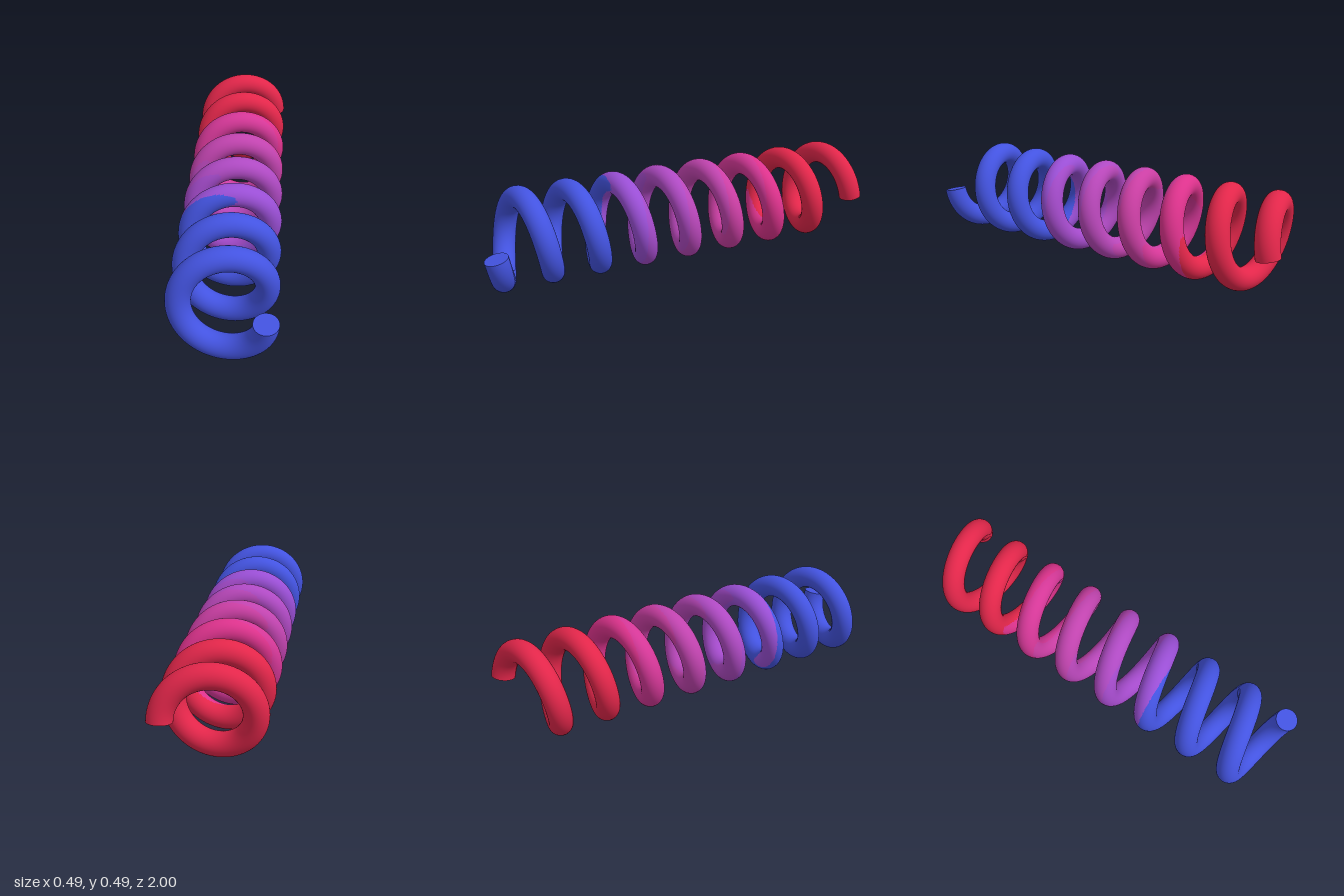
import * as THREE from 'three';

const TURNS = 8, COIL_R = 0.189, WIRE_R = 0.056, HALF_LEN = 0.943, CENTRE_Y = 0.247;

// Helix running from front (+z) to back, starting on the +x side and dropping first
class Helix extends THREE.Curve {
  getPoint(t, target = new THREE.Vector3()) {
    const a = t * TURNS * Math.PI * 2;
    return target.set(
      COIL_R * Math.cos(a),
      CENTRE_Y - COIL_R * Math.sin(a),
      HALF_LEN * (1 - 2 * t));
  }
}

// Colours from front to back
const COLOURS = [
  ['blue', 0x4353e0], ['violet', 0x994ed4], ['purple', 0xa34aca],
  ['orchid', 0xae49c2], ['plum', 0xb746b8], ['mauve', 0xc043ae],
  ['magenta', 0xca3ea3], ['rose', 0xd43797], ['pink', 0xdc328c],
  ['red', 0xe2264a],
];
const BAND_FRONT = 0.345, BAND_BACK = -0.525;

function bandAt(z) {
  const middle = COLOURS.length - 2;
  const s = (BAND_FRONT - z) / (BAND_FRONT - BAND_BACK);
  return THREE.MathUtils.clamp(Math.floor(s * middle) + 1, 0, COLOURS.length - 1);
}

// Sort the triangles into one material group per colour band
function groupByBand(geometry) {
  const pos = geometry.attributes.position, index = geometry.index.array;
  const bands = COLOURS.map(() => []);
  for (let i = 0; i < index.length; i += 3) {
    const [a, b, c] = [index[i], index[i + 1], index[i + 2]];
    bands[bandAt((pos.getZ(a) + pos.getZ(b) + pos.getZ(c)) / 3)].push(a, b, c);
  }
  geometry.clearGroups();
  let start = 0;
  bands.forEach((band, i) => {
    geometry.addGroup(start, band.length, i);
    start += band.length;
  });
  geometry.setIndex(bands.flat());
  return geometry;
}

export function createModel() {
  const group = new THREE.Group();
  group.name = 'coilSpring';

  const materials = COLOURS.map(([name, color]) => {
    const m = new THREE.MeshStandardMaterial({ color });
    m.name = name;
    return m;
  });

  // Coiled wire
  const helix = new Helix();
  const coil = new THREE.Mesh(
    groupByBand(new THREE.TubeGeometry(helix, 640, WIRE_R, 64, false)), materials);
  coil.name = 'coil';
  group.add(coil);

  // Flat discs closing the cut ends of the wire
  const addCap = (name, t, direction, material) => {
    const cap = new THREE.Mesh(new THREE.CircleGeometry(WIRE_R, 64), material);
    const normal = helix.getTangent(t).multiplyScalar(direction);
    cap.quaternion.setFromUnitVectors(new THREE.Vector3(0, 0, 1), normal);
    cap.position.copy(helix.getPoint(t));
    cap.name = name;
    group.add(cap);
  };
  addCap('frontEndCap', 0, -1, materials[0]);
  addCap('backEndCap', 1, 1, materials[materials.length - 1]);

  return group;
}
